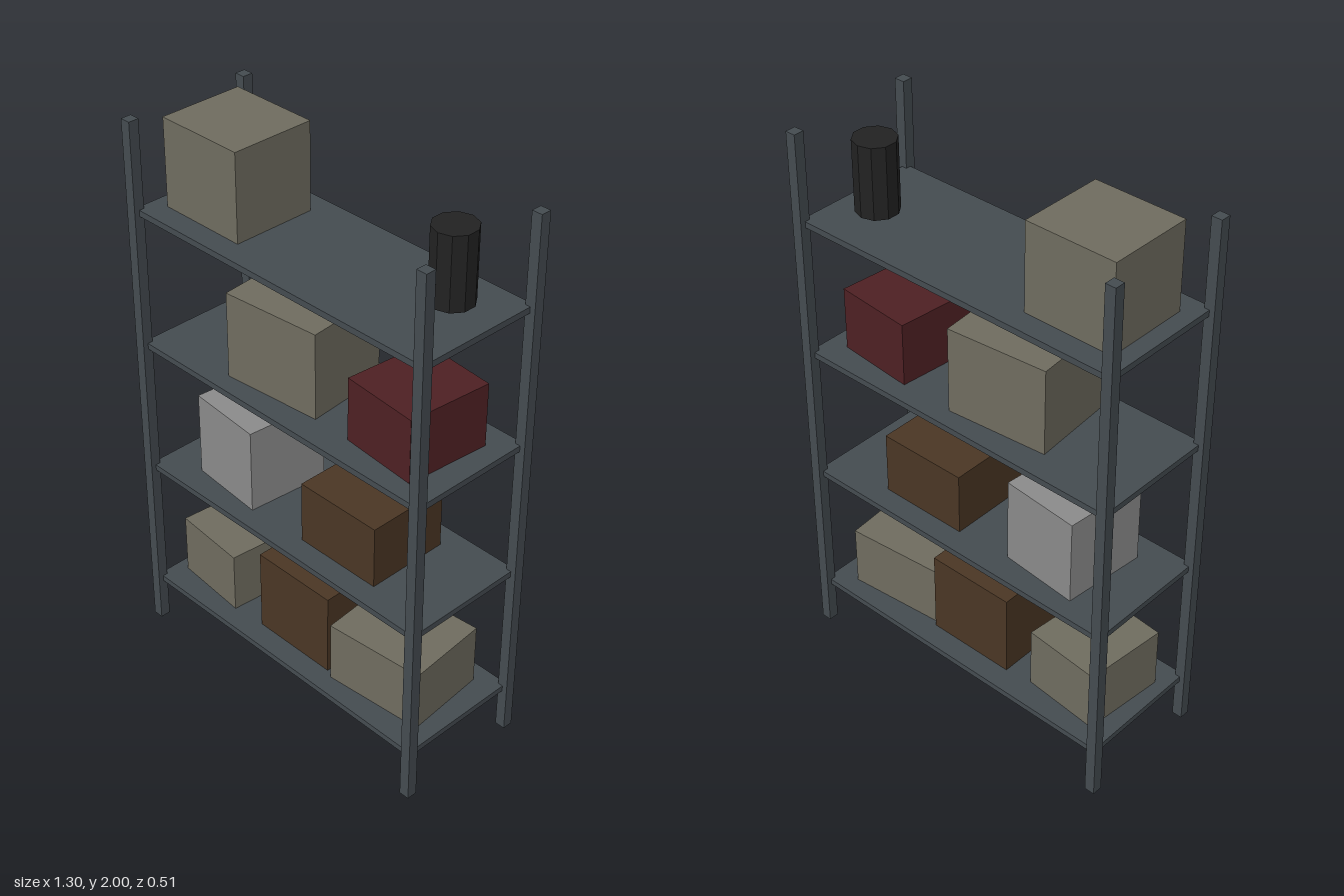
import * as THREE from 'three';

const material = (name, color) => {
  const m = new THREE.MeshStandardMaterial({ color });
  m.name = name;
  return m;
};

export function createModel() {
  const group = new THREE.Group();
  group.name = 'storageRack';

  const steel = material('slate steel', 0x444b50);
  const tan = material('dull tan', 0x6f6c5f);
  const brown = material('dark brown', 0x4a3624);
  const red = material('dark red', 0x4e2023);
  const grey = material('mid grey', 0x8a8a8a);
  const black = material('soft black', 0x222222);

  const add = (name, geometry, mat, x, y, z, turn = 0) => {
    const mesh = new THREE.Mesh(geometry, mat);
    mesh.name = name;
    mesh.position.set(x, y, z);
    mesh.rotation.y = turn;
    group.add(mesh);
  };

  // Four corner posts
  const postX = 0.63, postZ = 0.236;
  for (const x of [-postX, postX])
    for (const z of [-postZ, postZ])
      add('post', new THREE.BoxGeometry(0.038, 2, 0.038), steel, x, 1, z);

  // Four shelves, evenly spaced
  const thickness = 0.022;
  const shelfY = (i) => 0.173 + 0.501 * i;
  for (let i = 0; i < 4; i++)
    add('shelf', new THREE.BoxGeometry(2 * postX, thickness, 2 * postZ), steel, 0, shelfY(i), 0);

  // Boxes: shelf, x, width, height, turn, material
  const tall = 0.313, low = 0.23, skew = 0.087;
  const boxes = [
    [0, -0.425, 0.29, low, -skew, tan],
    [0, -0.002, 0.334, tall, 0, brown],
    [0, 0.367, 0.374, low, skew, tan],
    [1, -0.319, 0.29, tall, -skew, grey],
    [1, 0.209, 0.334, low, 0, brown],
    [2, -0.108, 0.374, tall, skew, tan],
    [2, 0.397, 0.29, low, -skew, red],
    [3, -0.402, 0.334, tall, 0, tan],
  ];
  for (const [shelf, x, w, h, turn, mat] of boxes)
    add('box', new THREE.BoxGeometry(w, h, 0.31), mat, x, shelfY(shelf) + thickness / 2 + h / 2, 0, turn);

  // Ten-sided canister on the top shelf
  const canister = new THREE.CylinderGeometry(0.074, 0.074, 0.254, 10).toNonIndexed();
  canister.computeVertexNormals();
  add('canister', canister, black, 0.471, 1.836, -0.053);

  return group;
}
